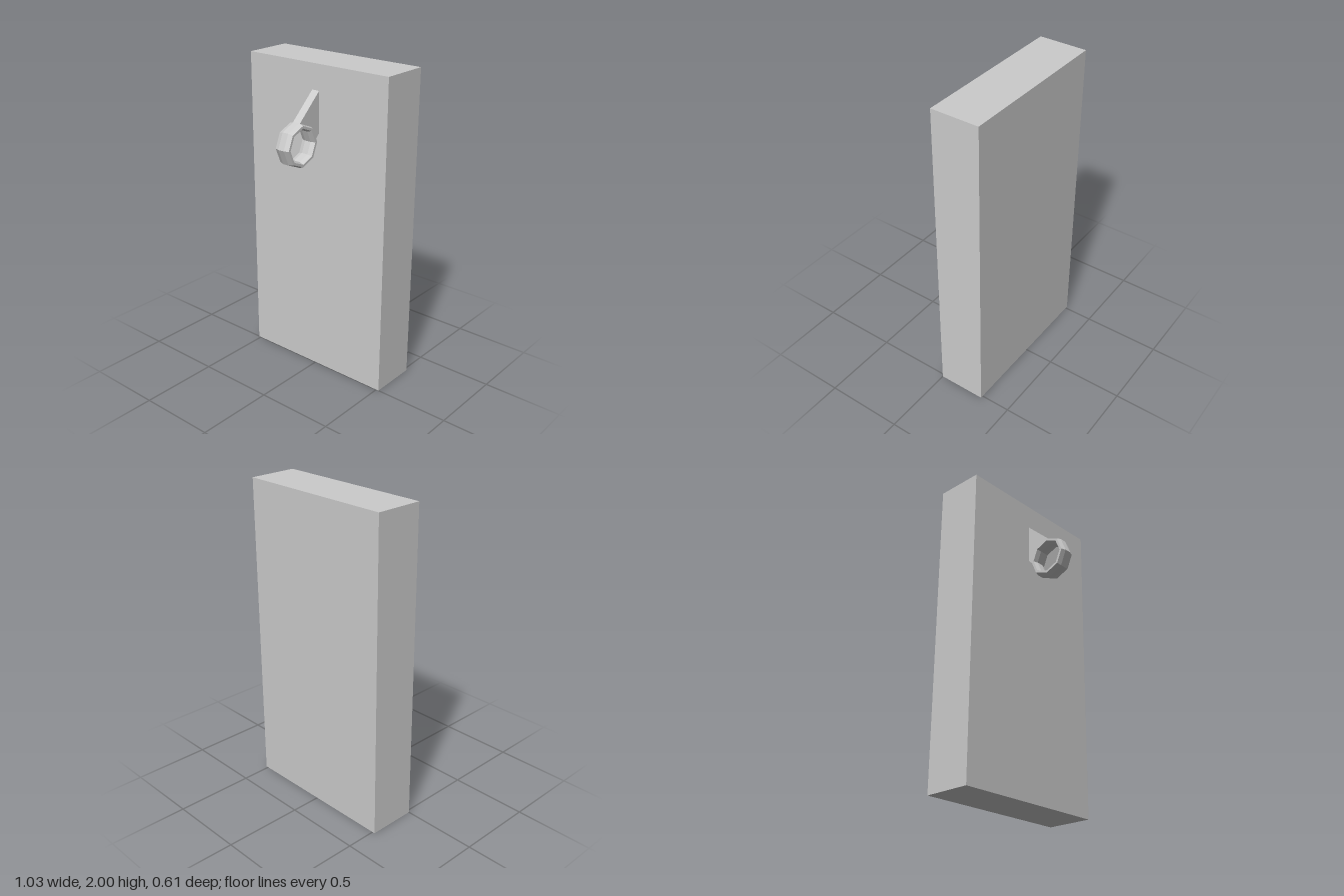
import * as THREE from 'three';

export function createModel() {
  const model = new THREE.Group();
  const material = new THREE.MeshStandardMaterial({ color: 0xcccccc, flatShading: true });
  const add = (name, geometry) => {
    const mesh = new THREE.Mesh(geometry, material);
    mesh.name = name;
    model.add(mesh);
    return mesh;
  };

  // Upright slab
  add('slab', new THREE.BoxGeometry(1.034, 2, 0.308)).position.set(0, 1, -0.154);

  // Eight-sided ring with bevelled rims, its axis along x
  const half = [[0.135, 0.021], [0.125, 0.05], [0.109, 0.05], [0.099, 0.021]];
  const mirrored = half.map(([r, x]) => [r, -x]).reverse();
  const profile = [...mirrored, ...half, mirrored[0]].map(([r, x]) => new THREE.Vector2(r, x));
  const ring = add('ring', new THREE.LatheGeometry(profile, 8));
  ring.rotation.z = Math.PI / 2;
  ring.position.set(0, 1.55, 0.17);

  // Sloping bracket from slab to ring, drawn as (z, y), cut to follow the ring
  const outline = [[-0.01, 1.848], [0, 1.842], [0.17, 1.684], [0.17, 1.667],
    [0.087, 1.633], [0.053, 1.55], [0.036, 1.55], [0, 1.587], [-0.01, 1.587]];
  const shape = new THREE.Shape(outline.map(([z, y]) => new THREE.Vector2(-z, y)));
  const plate = new THREE.ExtrudeGeometry(shape, { depth: 0.052, bevelEnabled: false });
  plate.translate(0, 0, -0.026).rotateY(Math.PI / 2);
  add('bracket', plate);

  return model;
}
